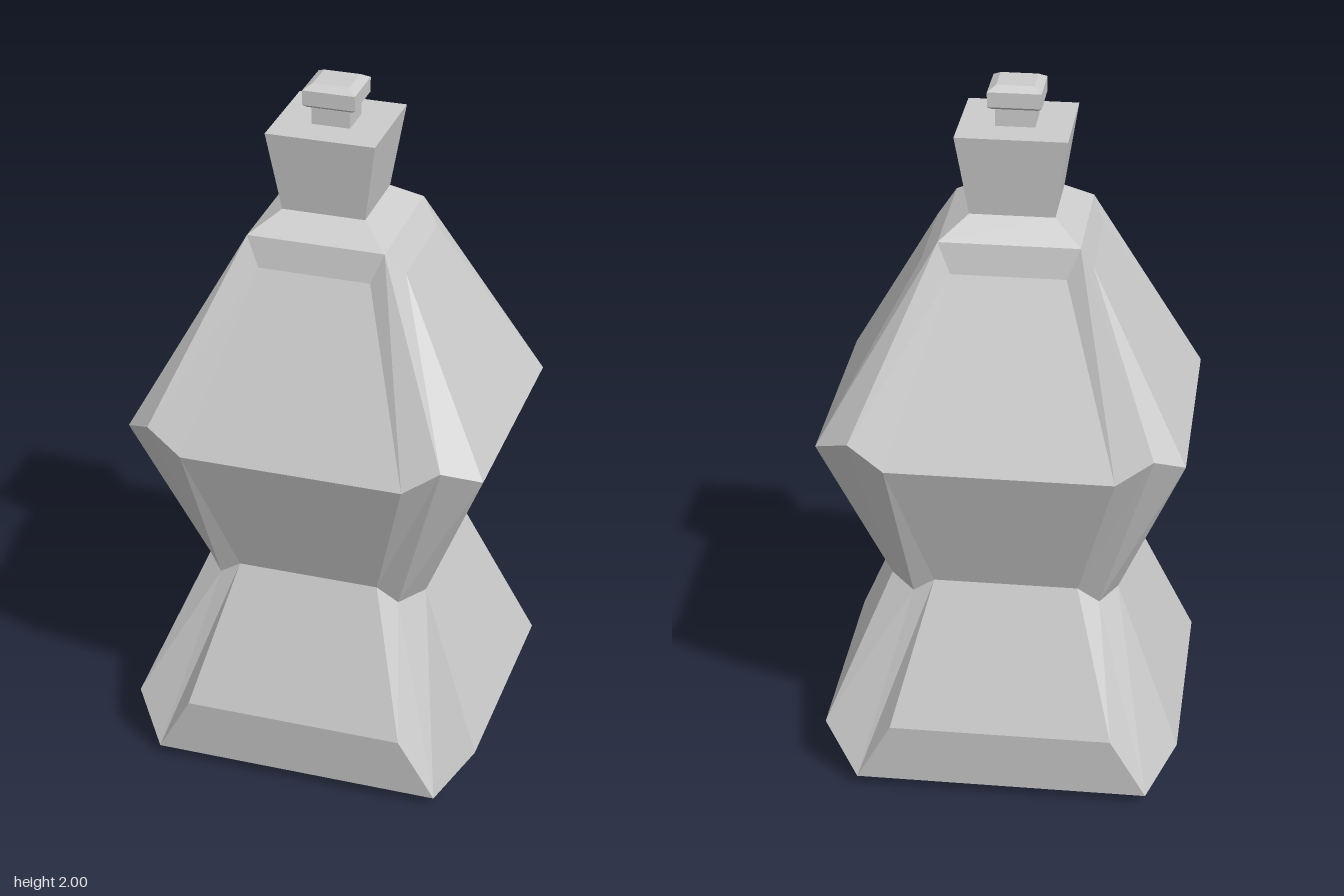
import * as THREE from 'three';

const OFF = -0.009; // the bottle leans slightly to one side of its widest edges

// A ring is one corner [x, y, z] mirrored four ways, or three points per corner:
// front-panel edge, corner ridge, side-panel edge.
function ringPoints(ring) {
  const [f, c, s] = Array.isArray(ring) ? [ring, ring, ring] : [ring.front, ring.corner, ring.side];
  const dxSide = s === f ? OFF : 0;
  const put = (p, sx, sz, dx) => new THREE.Vector3(sx * p[0] + dx, p[1], sz * p[2]);
  const out = [];
  for (const [sx, sz] of [[1, 1], [1, -1], [-1, -1], [-1, 1]]) {
    const trio = [put(f, sx, sz, OFF), put(c, sx, sz, OFF), put(s, sx, sz, dxSide)];
    out.push(...(sx * sz > 0 ? trio : trio.reverse()));
  }
  return out;
}

// Skins the rings from bottom to top and closes both ends
function loft(name, rings, material) {
  const loops = rings.map(ringPoints);
  const pos = [];
  const tri = (a, b, c) => {
    const area = b.clone().sub(a).cross(c.clone().sub(a)).length();
    if (area > 1e-7) for (const p of [a, b, c]) pos.push(p.x, p.y, p.z);
  };
  for (let r = 0; r + 1 < loops.length; r++) {
    for (let i = 0; i < 12; i++) {
      const j = (i + 1) % 12, lo = loops[r], hi = loops[r + 1];
      tri(lo[i], lo[j], hi[j]);
      tri(lo[i], hi[j], hi[i]);
    }
  }
  const bottom = loops[0], top = loops[loops.length - 1];
  for (let i = 1; i < 11; i++) {
    tri(bottom[0], bottom[i + 1], bottom[i]);
    tri(top[0], top[i], top[i + 1]);
  }
  const geo = new THREE.BufferGeometry();
  geo.setAttribute('position', new THREE.Float32BufferAttribute(pos, 3));
  geo.computeVertexNormals();
  const mesh = new THREE.Mesh(geo, material);
  mesh.name = name;
  return mesh;
}

export function createModel() {
  const grey = new THREE.MeshStandardMaterial({ color: 0xcccccc });
  grey.name = 'light grey';

  const foot = [0.41, 0.03, 0.395];
  const shoulder = [0.19, 1.605, 0.185];
  const group = new THREE.Group();
  group.name = 'bottle';

  group.add(
    // Faceted body: flared base, pinched waist, wide belly, sloping shoulders
    loft('body', [
      [0.31, 0, 0.305],
      foot,
      { front: [0.31, 0.215, 0.415], corner: foot, side: [0.5, 0.165, 0.328] },
      { front: [0.2, 0.617, 0.265], corner: [0.26, 0.575, 0.257], side: [0.317, 0.602, 0.21] },
      { front: [0.31, 1.03, 0.417], corner: [0.41, 1.095, 0.395], side: [0.5, 1.05, 0.328] },
      { front: [0.155, 1.52, 0.198], corner: shoulder, side: [0.23, 1.54, 0.15] },
      shoulder,
      [0.115, 1.66, 0.114],
    ], grey),
    // Square neck widening upwards
    loft('neck', [[0.115, 1.66, 0.114], [0.15, 1.886, 0.146]], grey),
    // Stopper: thin stem and bevelled knob
    loft('stopperStem', [[0.053, 1.886, 0.05], [0.053, 1.942, 0.05]], grey),
    loft('stopperKnob', [
      [0.062, 1.937, 0.06], [0.072, 1.945, 0.07], [0.072, 1.986, 0.07], [0.05, 2, 0.048],
    ], grey),
  );
  return group;
}
